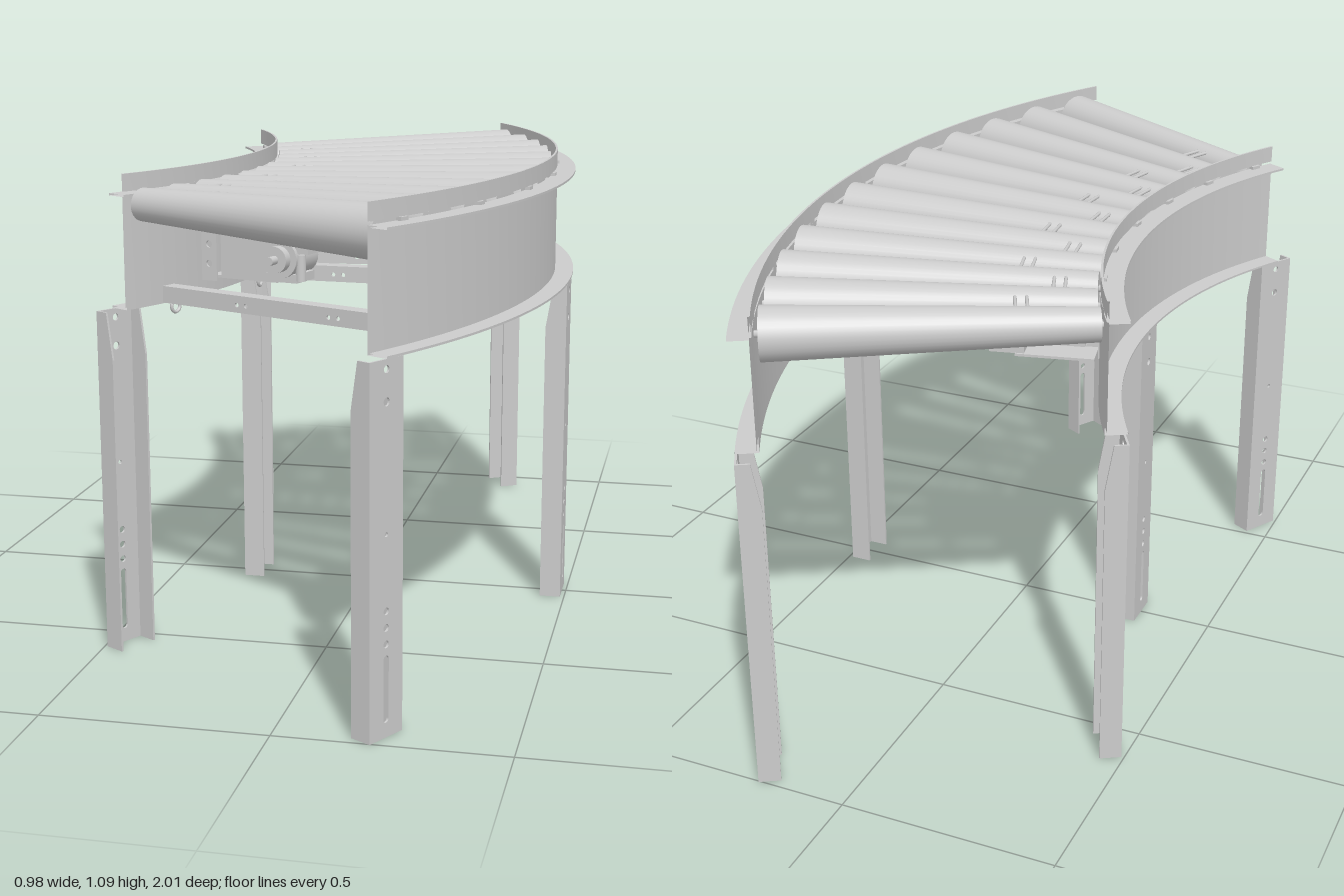
import * as THREE from 'three';
import { toCreasedNormals } from 'three/addons/utils/BufferGeometryUtils.js';

const CX = -1.43;            // centre of the bend
const INNER = 1.155, OUTER = 1.87;
const DEG = Math.PI / 180;
const AXLE_Y = 1.016;
const mat = new THREE.MeshStandardMaterial({ color: 0xcccccc, side: THREE.DoubleSide });

function add(parent, name, geo, x = 0, y = 0, z = 0) {
  const m = new THREE.Mesh(geo, mat);
  m.name = name;
  m.position.set(x, y, z);
  parent.add(m);
  return m;
}
const box = (p, name, w, h, d, x, y, z) => add(p, name, new THREE.BoxGeometry(w, h, d), x, y, z);

// cylinder lying along 'x', 'y' or 'z'
function rod(p, name, r, len, axis, x, y, z, sides = 16) {
  const m = add(p, name, new THREE.CylinderGeometry(r, r, len, sides), x, y, z);
  if (axis === 'x') m.rotation.z = -Math.PI / 2;
  if (axis === 'z') m.rotation.x = Math.PI / 2;
  return m;
}

// group whose local x runs radially outward from the bend centre
function radial(root, name, deg) {
  const g = new THREE.Group();
  g.name = name;
  g.position.x = CX;
  g.rotation.y = -deg * DEG;
  root.add(g);
  return g;
}

// profile swept through the 60 degree bend
function sweep(root, name, pts, dir) {
  const p = pts.map(([r, y]) => new THREE.Vector2(r, y));
  p.push(p[0].clone());
  if (dir < 0) p.reverse();
  const geo = new THREE.LatheGeometry(p, 48, 60 * DEG, 60 * DEG);
  add(root, name, toCreasedNormals(geo, 0.5), CX);
}

function polygon(pts) {
  return new THREE.Shape(pts.map(([x, y]) => new THREE.Vector2(x, y)));
}
function hole(shape, x, y, r) {
  const h = new THREE.Path();
  h.absarc(x, y, r, 0, Math.PI * 2, true);
  shape.holes.push(h);
}
const extrude = (s, depth) =>
  new THREE.ExtrudeGeometry(s, { depth, bevelEnabled: false, curveSegments: 8 });

// side channel with guard strip above it
function rail(root, name, w, d) {
  const t = 0.005 * d, f = 0.05 * d;
  sweep(root, name + 'Channel', [[w, 0.785], [w + f, 0.785], [w + f, 0.79], [w + t, 0.79],
    [w + t, 1.036], [w + f, 1.036], [w + f, 1.041], [w, 1.041]], d);
  sweep(root, name + 'Guard', [[w, 1.048], [w + t, 1.048], [w + t, 1.087], [w, 1.087]], d);
  for (let a = -27; a <= 27; a += 9)
    box(radial(root, name + 'GuardSpacer', a), 'spacer', 0.012, 0.008, 0.025, w + 0.006 * d, 1.0445, 0);
}

// open channel leg, web on the side away from the rollers
function leg(root, name, deg, d) {
  const g = radial(root, name, deg);
  const r = d > 0 ? 1.92 : 1.11, T = 0.005;
  const web = polygon([[-0.05, 0], [0.05, 0], [0.05, 0.785], [-0.05, 0.785]]);
  for (const [y, s] of [[0.2, 0.008], [0.235, 0.008], [0.27, 0.008], [0.43, 0.005], [0.7, 0.009], [0.765, 0.008]])
    hole(web, 0, y, s);
  const slot = new THREE.Path();
  slot.absarc(0, 0.168, 0.008, 0, Math.PI, false);
  slot.absarc(0, 0.04, 0.008, Math.PI, Math.PI * 2, false);
  slot.closePath();
  web.holes.push(slot);
  const m = add(g, 'legWeb', extrude(web, T), d > 0 ? r - T : r);
  m.rotation.y = Math.PI / 2;
  const flange = polygon([[0, 0], [-0.05 * d, 0], [-0.05 * d, 0.68], [-0.032 * d, 0.785], [0, 0.785]]);
  for (const z of [-0.05, 0.05 - T]) add(g, 'legFlange', extrude(flange, T), r, 0, z);
}

// cross member with punched web and hanging rings at its ends
function crossMember(root, deg) {
  const g = radial(root, 'crossMember', deg);
  const web = polygon([[INNER, 0.787], [OUTER, 0.787], [OUTER, 0.825], [INNER, 0.825]]);
  for (const x of [1.37, 1.395, 1.62, 1.645]) hole(web, x, 0.804, 0.005);
  add(g, 'memberWeb', extrude(web, 0.005), 0, 0, 0.015);
  const len = OUTER - INNER, mid = (OUTER + INNER) / 2;
  for (const y of [0.789, 0.823]) box(g, 'memberFlange', len, 0.004, 0.035, mid, y, 0);
  for (const r of [INNER + 0.02, OUTER - 0.02]) {
    const ring = add(g, 'cableRing', new THREE.TorusGeometry(0.014, 0.004, 8, 16), r, 0.779, 0);
    ring.rotation.y = Math.PI / 2;
  }
}

// drive unit hung from the inner rail below the rollers
function driveUnit(root, deg) {
  const g = radial(root, 'driveUnit', deg);
  const strip = polygon([[1.16, 0.82], [1.2, 0.82], [1.2, 0.975], [1.16, 0.975]]);
  for (const y of [0.86, 0.905, 0.95]) hole(strip, 1.18, y, 0.008);
  add(g, 'bracketFace', extrude(strip, 0.005), 0, 0, 0.03);
  box(g, 'bracketBack', 0.005, 0.155, 0.06, 1.163, 0.8975, 0.003);
  const plate = polygon([[1.2, 0.83], [1.34, 0.83], [1.34, 0.965], [1.235, 0.965], [1.2, 0.93]]);
  add(g, 'mountPlate', extrude(plate, 0.006), 0, 0, 0.01);
  box(g, 'mountShelf', 0.18, 0.006, 0.07, 1.26, 0.828, -0.02);
  rod(g, 'motorBody', 0.045, 0.1, 'z', 1.37, 0.885, -0.01, 24);
  rod(g, 'motorCap', 0.03, 0.02, 'z', 1.37, 0.885, 0.05, 24);
  rod(g, 'motorShaft', 0.01, 0.03, 'z', 1.37, 0.885, 0.07);
  box(g, 'motorHead', 0.07, 0.03, 0.08, 1.36, 0.945, -0.01);
  box(g, 'terminalBox', 0.04, 0.065, 0.06, 1.42, 0.93, 0);
  box(g, 'motorFoot', 0.08, 0.02, 0.08, 1.37, 0.84, -0.01);
  rod(g, 'valve', 0.012, 0.06, 'y', 1.415, 0.865, 0.02);
}

export function createModel() {
  const root = new THREE.Group();
  root.name = 'curvedRollerConveyor';

  rail(root, 'innerRail', INNER, -1);
  rail(root, 'outerRail', OUTER, 1);

  // tapered rollers every five degrees
  const r0 = INNER + 0.006, r1 = OUTER - 0.012;
  for (let i = 0; i < 12; i++) {
    const g = radial(root, 'roller', -27.5 + i * 5);
    const body = add(g, 'rollerBody', new THREE.CylinderGeometry(0.059, 0.037, r1 - r0, 32), (r0 + r1) / 2, AXLE_Y, 0);
    body.rotation.z = -Math.PI / 2;
    rod(g, 'axle', 0.008, OUTER - INNER, 'x', (INNER + OUTER) / 2, AXLE_Y, 0, 6);
  }

  // drive bands linking neighbouring rollers, alternating tracks
  for (let i = 0; i < 11; i++) {
    const g = radial(root, 'driveBand', -25 + i * 5);
    const r = i % 2 ? 1.23 : 1.31;
    for (const off of [0, 0.025])
      for (const y of [-0.03, 0.03])
        rod(g, 'bandRun', 0.004, 2 * r * Math.sin(2.5 * DEG), 'z', r + off, AXLE_Y + y, 0, 8);
  }

  for (const a of [-30, 0, 30]) {
    leg(root, 'innerLeg', a, -1);
    leg(root, 'outerLeg', a, 1);
  }
  for (const a of [23.5, 4.5, -7]) crossMember(root, a);
  for (const a of [16, -13]) driveUnit(root, a);
  return root;
}
